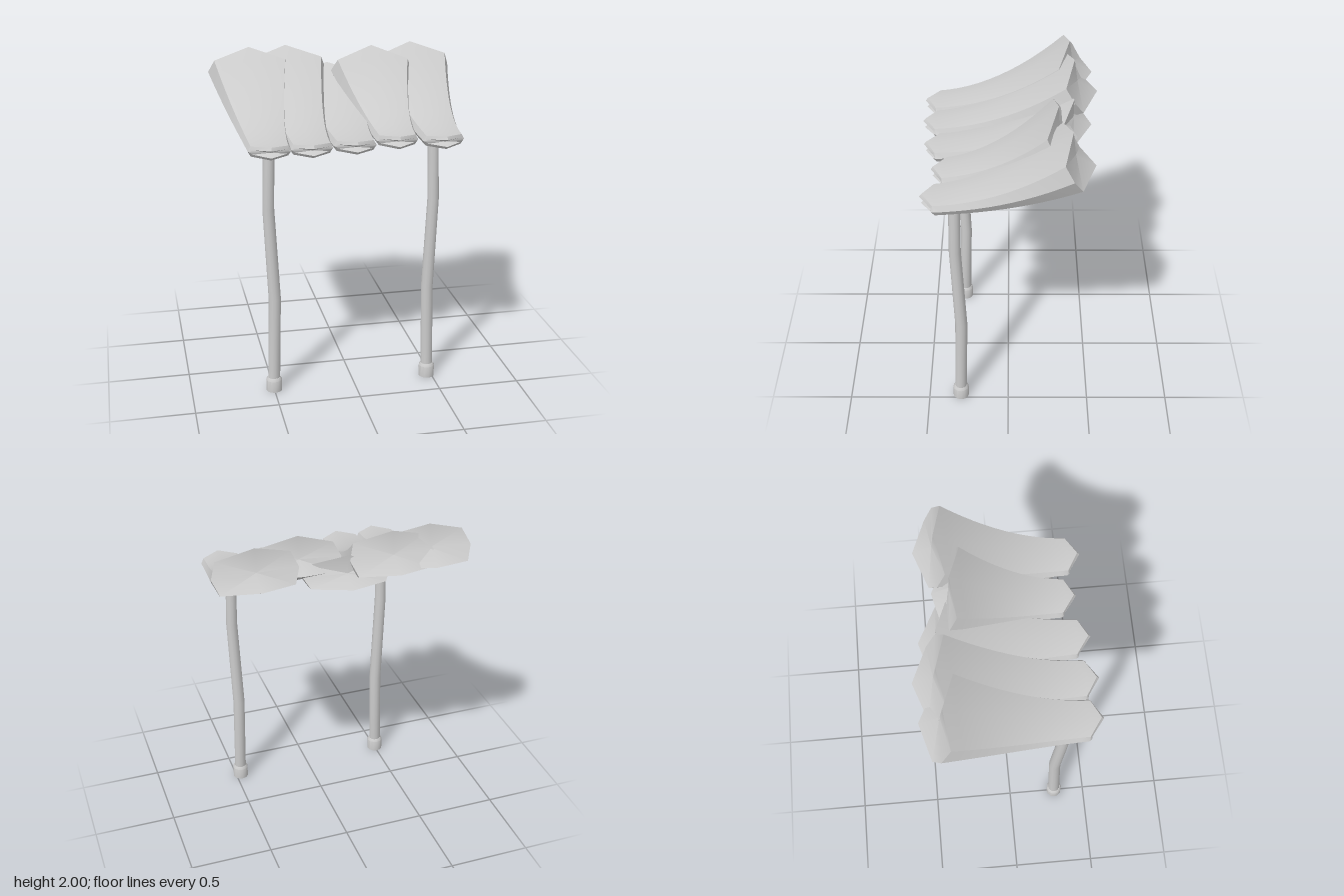
import * as THREE from 'three';
import { toCreasedNormals } from 'three/addons/utils/BufferGeometryUtils.js';

const material = new THREE.MeshStandardMaterial({ color: 0xcccccc });

// Skin a list of equal-sized rings of Vector3 and close both ends.
function loft(rings, crease = 0.6) {
  const n = rings[0].length, pos = [], idx = [];
  rings.forEach(r => r.forEach(p => pos.push(p.x, p.y, p.z)));
  for (let j = 0; j < rings.length - 1; j++) {
    for (let i = 0; i < n; i++) {
      const a = j * n + i, b = j * n + (i + 1) % n;
      idx.push(a, a + n, b, b, a + n, b + n);
    }
  }
  [0, rings.length - 1].forEach((j, end) => {
    const c = rings[j].reduce((s, p) => s.add(p), new THREE.Vector3()).divideScalar(n);
    const ci = pos.length / 3;
    pos.push(c.x, c.y, c.z);
    for (let i = 0; i < n; i++) {
      const a = j * n + i, b = j * n + (i + 1) % n;
      if (end) idx.push(ci, b, a); else idx.push(ci, a, b);
    }
  });
  const g = new THREE.BufferGeometry();
  g.setAttribute('position', new THREE.Float32BufferAttribute(pos, 3));
  g.setIndex(idx);
  return toCreasedNormals(g, crease);
}

// Curve in the z-y plane, stored as (z, y).
const curve = (a, b, c) => new THREE.QuadraticBezierCurve(
  new THREE.Vector2(...a), new THREE.Vector2(...b), new THREE.Vector2(...c));

// Upturned slat: chamfered section that widens and thickens to the back, with pointed ends.
function slatGeometry({ x0, x1, tip, top, bottom, topCtrl, bottomCtrl, yaw }) {
  const upper = curve([tip, 1.605], [0.07, topCtrl], top);
  const lower = curve([tip - 0.015, 1.527], [0, bottomCtrl], bottom);
  const steps = 12, stations = [[0, 0.55, 0.93], [0.02, 1, 1]];
  for (let i = 1; i <= steps; i++) stations.push([i / steps, 1, 1]);

  const rings = stations.map(([s, thick, wide]) => {
    const T = upper.getPoint(s), B = lower.getPoint(s);
    const M = T.clone().add(B).multiplyScalar(0.5);
    const tangent = upper.getTangent(s).add(lower.getTangent(s)).normalize();
    const half = T.clone().sub(M).multiplyScalar(thick);
    const w = (0.122 + 0.128 * s ** 1.6) * wide;
    const cx = x0 + (x1 - x0) * s;
    const shift = 0.065 - 0.145 * s;              // makes the ends pointed
    const flat = 1 - (0.008 + 0.022 * s) / half.length(); // corners lie below the crown
    // u across, v through the thickness, k lengthwise share of the point
    const point = (u, v, k) => {
      const p = M.clone().addScaledVector(half, v).addScaledVector(tangent, shift * k);
      return new THREE.Vector3(cx + u * w, p.y, p.x + yaw * u * w);
    };
    return [
      point(1, 0, 1), point(0.86, flat, 1), point(0, 1, 0), point(-0.86, flat, 1),
      point(-1, 0, 1), point(-0.86, -flat, 1), point(0, -1, 0), point(0.86, -flat, 1),
    ];
  });
  return loft(rings);
}

// Round ring lying flat at (x, y, z).
function circle(x, y, z, r, sides = 12) {
  return Array.from({ length: sides }, (_, i) => {
    const a = (i / sides) * Math.PI * 2;
    return new THREE.Vector3(x + r * Math.cos(a), y, z + r * Math.sin(a));
  });
}

function part(name, geometry) {
  const mesh = new THREE.Mesh(geometry, material);
  mesh.name = name;
  return mesh;
}

export function createModel() {
  const model = new THREE.Group();
  model.name = 'awning';

  // Five overlapping slats, from the right to the left
  const canopy = new THREE.Group();
  canopy.name = 'canopy';
  const slats = [
    { x0: -0.515, x1: -0.52, tip: 0.52, top: [-0.37, 2.0], bottom: [-0.51, 1.79], topCtrl: 1.61, bottomCtrl: 1.52, yaw: 0.1 },
    { x0: -0.275, x1: -0.29, tip: 0.52, top: [-0.39, 2.0], bottom: [-0.53, 1.79], topCtrl: 1.605, bottomCtrl: 1.515, yaw: 0.03 },
    { x0: -0.02, x1: -0.03, tip: 0.5, top: [-0.38, 1.885], bottom: [-0.485, 1.72], topCtrl: 1.6, bottomCtrl: 1.51, yaw: 0.1 },
    { x0: 0.24, x1: 0.23, tip: 0.445, top: [-0.28, 2.0], bottom: [-0.39, 1.8], topCtrl: 1.62, bottomCtrl: 1.53, yaw: 0.1 },
    { x0: 0.505, x1: 0.495, tip: 0.495, top: [-0.35, 2.0], bottom: [-0.48, 1.79], topCtrl: 1.61, bottomCtrl: 1.52, yaw: 0 },
  ];
  slats.forEach((s, i) => canopy.add(part(`slat${i + 1}`, slatGeometry(s))));
  model.add(canopy);

  // Crooked posts standing on collared feet; each entry is [x, y, z, radius]
  const posts = {
    right: [[-0.5, 0.05, 0.3, 0.037], [-0.483, 0.6, 0.285, 0.037], [-0.513, 1.18, 0.307, 0.035], [-0.502, 1.56, 0.302, 0.033]],
    left: [[0.47, 0.05, 0.3, 0.037], [0.463, 0.6, 0.285, 0.037], [0.481, 1.18, 0.307, 0.035], [0.472, 1.56, 0.302, 0.033]],
  };
  for (const [side, path] of Object.entries(posts)) {
    const [x, , z] = path[0];
    model.add(part(`${side}Post`, loft(path.map(p => circle(...p)))));
    model.add(part(`${side}Foot`, loft([
      circle(x, 0, z, 0.049), circle(x, 0.072, z, 0.049), circle(x, 0.088, z, 0.039),
    ])));
  }
  return model;
}
